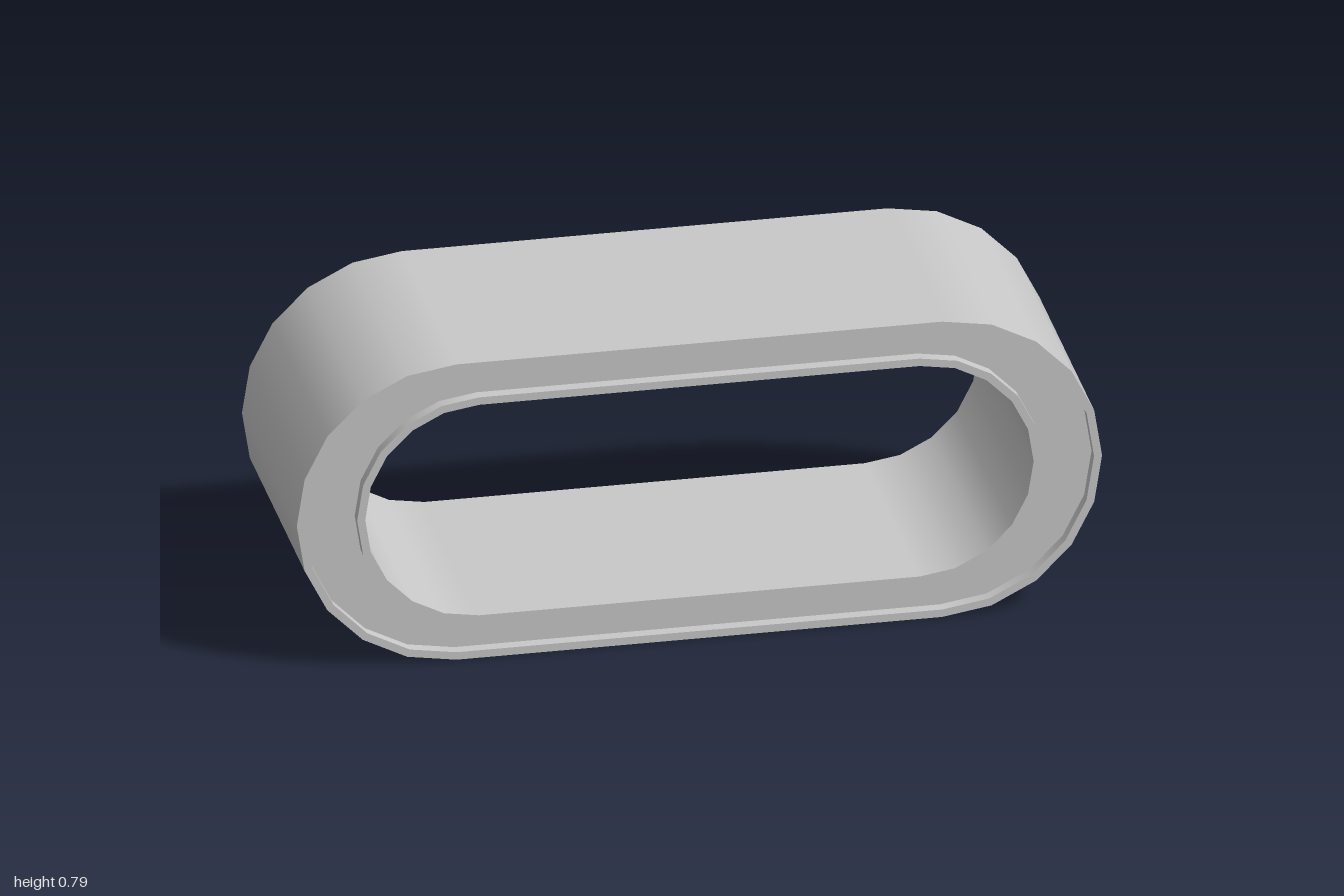
import * as THREE from 'three';

const CENTER_Y = 0.397;
const HALF_DEPTH = 0.33;
const RECESS = 0.03;
const STEPS = 10; // segments per rounded end

// Stadium-shaped loops: end-arc centre and radius
const outer = { cx: 0.603, r: 0.397 };
const outerLip = { cx: 0.603, r: 0.377 };
const innerLip = { cx: 0.547, r: 0.303 };
const inner = { cx: 0.547, r: 0.283 };

// Counter-clockwise points of a stadium with their outward normals
function loop({ cx, r }) {
  const points = [];
  for (const side of [1, -1]) {
    for (let i = 0; i <= STEPS; i++) {
      const a = -Math.PI / 2 + (Math.PI * i) / STEPS;
      const nx = Math.cos(a) * side, ny = Math.sin(a) * side;
      points.push({ x: cx * side + r * nx, y: CENTER_Y + r * ny, nx, ny });
    }
  }
  return points;
}

// Closed strip between two loops; facing: 'out', 'in', 'front' or 'back'
function strip(a, za, b, zb, facing) {
  const la = loop(a), lb = loop(b), n = la.length;
  const position = [], normal = [], index = [];
  const addLoop = (points, z) => points.forEach((p) => {
    position.push(p.x, p.y, z);
    if (facing === 'out') normal.push(p.nx, p.ny, 0);
    else if (facing === 'in') normal.push(-p.nx, -p.ny, 0);
    else normal.push(0, 0, facing === 'front' ? 1 : -1);
  });
  addLoop(la, za);
  addLoop(lb, zb);
  const flip = facing === 'in' || facing === 'back';
  for (let i = 0; i < n; i++) {
    const j = (i + 1) % n;
    if (flip) index.push(i, n + j, j, i, n + i, n + j);
    else index.push(i, j, n + j, i, n + j, n + i);
  }
  const g = new THREE.BufferGeometry();
  g.setAttribute('position', new THREE.Float32BufferAttribute(position, 3));
  g.setAttribute('normal', new THREE.Float32BufferAttribute(normal, 3));
  g.setIndex(index);
  return g;
}

export function createModel() {
  const group = new THREE.Group();
  group.name = 'ovalSleeve';
  const grey = new THREE.MeshStandardMaterial({ color: 0xc8c8c8 });
  grey.name = 'grey';

  const add = (name, geometry, parent = group) => {
    const mesh = new THREE.Mesh(geometry, grey);
    mesh.name = name;
    parent.add(mesh);
  };

  // Long walls running through the depth
  add('outerWall', strip(outer, -HALF_DEPTH, outer, HALF_DEPTH, 'out'));
  add('innerWall', strip(inner, -HALF_DEPTH, inner, HALF_DEPTH, 'in'));

  // Each end: two raised lips around a shallow groove
  const end = () => {
    const g = new THREE.Group();
    const top = HALF_DEPTH, floor = HALF_DEPTH - RECESS;
    add('outerLip', strip(outer, top, outerLip, top, 'front'), g);
    add('outerGrooveWall', strip(outerLip, floor, outerLip, top, 'in'), g);
    add('grooveFloor', strip(outerLip, floor, innerLip, floor, 'front'), g);
    add('innerGrooveWall', strip(innerLip, floor, innerLip, top, 'out'), g);
    add('innerLip', strip(innerLip, top, inner, top, 'front'), g);
    return g;
  };
  const front = end();
  front.name = 'frontEnd';
  const back = end();
  back.name = 'backEnd';
  back.rotation.y = Math.PI;
  group.add(front, back);
  return group;
}
